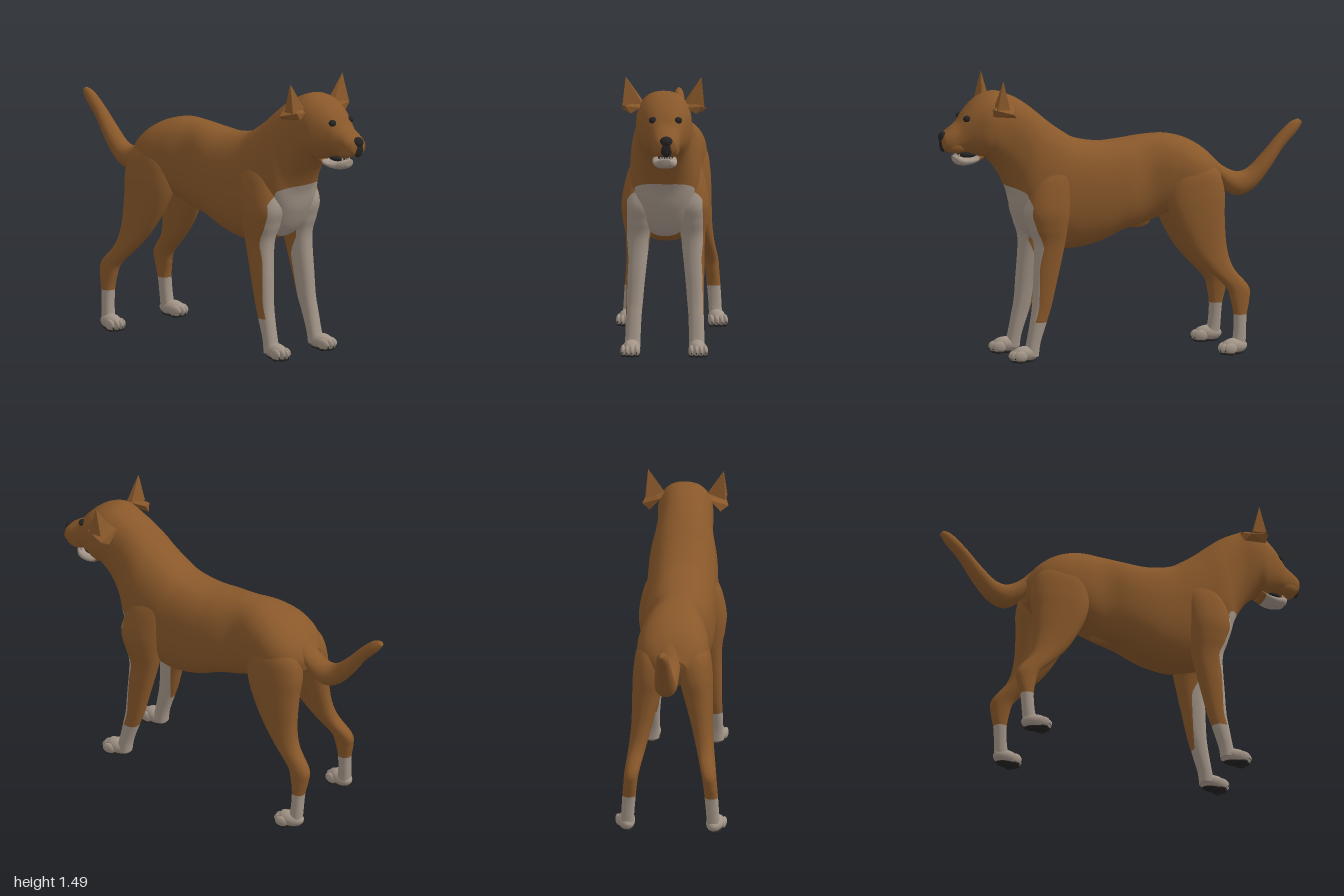
import * as THREE from 'three';
import { ConvexGeometry } from 'three/addons/geometries/ConvexGeometry.js';

const mat = (name, color) => Object.assign(new THREE.MeshStandardMaterial({ color }), { name });
const tan = mat('tan coat', 0x89582a);
const white = mat('pale markings', 0xa39588);
const black = mat('black', 0x262423);

// The head turns slightly to its left
const turn = (z) => Math.max(0, z - 0.68) * 0.08;

// Smooth skin over rings [zTop, yTop, zBottom, yBottom, halfWidth, centreX];
// faces are cut along paint = 0 and are pale where it is positive
function loft(name, rings, { segs = 56, steps = 9, power = 0.85, paint = () => -1 } = {}) {
  const pos = [], n = rings.length, rows = (n - 1) * steps + 1;
  const at = (i) => rings[Math.min(n - 1, Math.max(0, i))];
  const pw = (v) => Math.sign(v) * Math.pow(Math.abs(v), power);
  const ends = [];
  for (let r = 0; r < rows; r++) {
    const i = Math.min(n - 2, Math.floor(r / steps)), t = r / steps - i;
    const q = [0, 1, 2, 3, 4, 5].map((k) => {
      const [a, b, c, d] = [-1, 0, 1, 2].map((o) => at(i + o)[k] || 0);
      return b + 0.5 * t * (c - a + t * (2 * a - 5 * b + 4 * c - d + t * (3 * (b - c) + d - a)));
    });
    const cz = (q[0] + q[2]) / 2, cy = (q[1] + q[3]) / 2;
    for (let j = 0; j < segs; j++) {
      const w = (j / segs) * Math.PI * 2, c = pw(Math.cos(w)), s = pw(Math.sin(w));
      const z = cz + ((q[0] - q[2]) / 2) * c;
      pos.push(q[5] + q[4] * s + turn(z), cy + ((q[1] - q[3]) / 2) * c, z);
    }
    if (r === 0 || r === rows - 1) ends.push([q[5] + turn(cz), cy, cz]);
  }
  const first = pos.length / 3, last = first + 1;
  pos.push(...ends[0], ...ends[1]);

  // Sort triangles by colour, splitting those on the colour edge
  const lists = [[], []], cuts = new Map();
  const point = (i) => pos.slice(i * 3, i * 3 + 3);
  const value = (i) => paint(...point(i));
  const cut = (a, b) => {
    const key = Math.min(a, b) + '_' + Math.max(a, b);
    if (!cuts.has(key)) {
      const t = value(a) / (value(a) - value(b)), p = point(a), e = point(b);
      cuts.set(key, pos.length / 3);
      pos.push(...p.map((v, k) => v + (e[k] - v) * t));
    }
    return cuts.get(key);
  };
  const tri = (...ids) => {
    const on = ids.map((i) => (value(i) > 0 ? 1 : 0)), sum = on[0] + on[1] + on[2];
    if (sum % 3 === 0) return lists[on[0]].push(...ids);
    const k = on.indexOf(sum === 1 ? 1 : 0);
    const [a, b, c] = [0, 1, 2].map((o) => ids[(k + o) % 3]);
    const ab = cut(a, b), ac = cut(a, c);
    lists[on[k]].push(a, ab, ac);
    lists[1 - on[k]].push(ab, b, c, ab, c, ac);
  };
  for (let j = 0; j < segs; j++) {
    const k = (j + 1) % segs, e = (rows - 1) * segs;
    tri(first, j, k);
    for (let r = 0; r < rows - 1; r++) {
      const a = r * segs, b = a + segs;
      tri(a + j, b + j, a + k);
      tri(a + k, b + j, b + k);
    }
    tri(last, e + k, e + j);
  }
  const g = new THREE.BufferGeometry();
  g.setAttribute('position', new THREE.Float32BufferAttribute(pos, 3));
  g.setIndex(lists.flat());
  g.addGroup(0, lists[0].length, 0);
  g.addGroup(lists[0].length, lists[1].length, 1);
  g.computeVertexNormals();
  const mesh = new THREE.Mesh(g, [tan, white]);
  mesh.name = name;
  return mesh;
}

function ball(name, material, p, s, detail = 20) {
  const m = new THREE.Mesh(new THREE.SphereGeometry(1, detail, Math.round(detail * 0.7)), material);
  m.name = name;
  m.position.set(...p);
  m.scale.set(...s);
  return m;
}

// Pale socks, and a bib that runs from the chest down the front of the legs
const sock = (x, y) => 0.208 - y;
function bib(x, y, z) {
  const ax = Math.abs(x);
  const top = 0.912 - Math.pow(Math.min(1, ax / 0.2), 4) * 0.07;
  const limit = 0.475 + Math.max(0, y - 0.62) * 0.3;
  const inner = Math.min(1, Math.max(0, (0.6 - y) / 0.1)) * (0.16 - ax) * 0.7;
  return Math.max(sock(x, y), Math.min(top - y, 0.198 - ax, z + inner - limit));
}

// Paw with four toes, claws and a dark sole
function paw(name, x, z, yaw) {
  const g = new THREE.Group();
  g.name = name;
  g.position.set(x, 0, z);
  g.rotation.y = yaw;
  g.add(ball('pawBody', white, [0, 0.045, 0], [0.045, 0.041, 0.072]));
  g.add(ball('pawSole', black, [0, 0.01, 0.012], [0.038, 0.01, 0.07]));
  for (let i = 0; i < 4; i++) {
    const o = i - 1.5, front = 0.065 - Math.abs(o) * 0.014;
    g.add(ball('toe', white, [o * 0.024, 0.035, front - 0.005], [0.0155, 0.029, 0.037], 14));
    g.add(ball('toePad', black, [o * 0.024, 0.008, front - 0.004], [0.012, 0.008, 0.025], 10));
    const claw = new THREE.Mesh(new THREE.ConeGeometry(0.005, 0.018, 8), black);
    claw.name = 'claw';
    claw.position.set(o * 0.025, 0.024, front + 0.03);
    claw.rotation.x = 2.3;
    g.add(claw);
  }
  return g;
}

export function createModel() {
  const dog = new THREE.Group();
  dog.name = 'dog';

  // Rump, trunk, neck, skull and muzzle as one skin
  dog.add(loft('body', [
    [-0.535, 0.95, -0.515, 0.85, 0.08],
    [-0.47, 1.04, -0.45, 0.78, 0.16],
    [-0.37, 1.11, -0.35, 0.74, 0.188],
    [-0.25, 1.145, -0.24, 0.73, 0.172],
    [-0.12, 1.145, -0.12, 0.68, 0.147],
    [0, 1.13, 0, 0.65, 0.172],
    [0.12, 1.122, 0.13, 0.595, 0.183],
    [0.25, 1.145, 0.27, 0.567, 0.183],
    [0.33, 1.19, 0.38, 0.585, 0.184],
    [0.40, 1.24, 0.505, 0.637, 0.184],
    [0.46, 1.29, 0.58, 0.76, 0.177],
    [0.53, 1.345, 0.615, 0.88, 0.157],
    [0.60, 1.385, 0.67, 0.985, 0.144],
    [0.68, 1.412, 0.735, 1.06, 0.145],
    [0.75, 1.4, 0.775, 1.07, 0.14],
    [0.81, 1.365, 0.81, 1.085, 0.12],
    [0.86, 1.315, 0.855, 1.1, 0.095],
    [0.90, 1.262, 0.9, 1.102, 0.077],
    [0.95, 1.225, 0.95, 1.105, 0.067],
    [0.98, 1.2, 0.978, 1.118, 0.052],
    [0.99, 1.18, 0.988, 1.135, 0.025],
  ], { segs: 72, paint: bib }));

  // Tail, from tip to root
  dog.add(loft('tail', [
    [-0.965, 1.192, -0.985, 1.172, 0.012, 0.02],
    [-0.92, 1.175, -0.955, 1.125, 0.028, 0.02],
    [-0.85, 1.11, -0.877, 1.04, 0.038, 0.02],
    [-0.77, 1.02, -0.797, 0.925, 0.05, 0.02],
    [-0.69, 0.945, -0.717, 0.835, 0.056, 0.018],
    [-0.625, 0.93, -0.636, 0.802, 0.06, 0.018],
    [-0.55, 0.965, -0.57, 0.83, 0.062, 0.015],
    [-0.48, 1.03, -0.52, 0.88, 0.062, 0.01],
    [-0.4, 1.08, -0.43, 0.93, 0.06, 0],
  ], { segs: 28, steps: 6, power: 1 }));
  dog.add(ball('underbelly', tan, [0, 0.7, -0.09], [0.03, 0.045, 0.075]));

  // Legs: rows of [y, zFront, zBack, xInner, xOuter]
  const frontRows = [
    [1.05, 0.45, 0.33, 0.08, 0.14], [0.95, 0.515, 0.31, 0.06, 0.196], [0.8, 0.562, 0.32, 0.035, 0.228],
    [0.7, 0.54, 0.335, 0.05, 0.222], [0.6, 0.513, 0.352, 0.08, 0.206], [0.4, 0.522, 0.4, 0.104, 0.203],
    [0.28, 0.53, 0.43, 0.115, 0.202], [0.2, 0.543, 0.457, 0.122, 0.204], [0.1, 0.562, 0.49, 0.126, 0.206],
    [0.03, 0.58, 0.5, 0.128, 0.21]];
  const hindRows = [
    [1.03, -0.3, -0.42, 0.05, 0.13], [0.95, -0.24, -0.5, 0.02, 0.186], [0.84, -0.215, -0.53, 0.025, 0.205],
    [0.72, -0.24, -0.525, 0.055, 0.21], [0.56, -0.325, -0.53, 0.1, 0.212], [0.45, -0.415, -0.56, 0.13, 0.222],
    [0.35, -0.515, -0.637, 0.16, 0.238], [0.28, -0.54, -0.637, 0.172, 0.244], [0.2, -0.553, -0.62, 0.18, 0.25],
    [0.1, -0.548, -0.614, 0.188, 0.256], [0.03, -0.53, -0.61, 0.19, 0.26]];
  for (const s of [1, -1]) {
    const side = s > 0 ? 'left' : 'right';
    const toRings = (rows) => rows.map(([y, f, b, i, o]) => [f, y, b, y, (o - i) / 2, (s * (o + i)) / 2]);
    dog.add(loft(side + 'FrontLeg', toRings(frontRows), { paint: bib }));
    dog.add(loft(side + 'HindLeg', toRings(hindRows), { paint: sock }));
    dog.add(paw(side + 'FrontPaw', s * 0.172, 0.572, s * 0.12));
    dog.add(paw(side + 'HindPaw', s * 0.232, -0.55, s * 0.2));

    // Upright ear point with a folded flap sweeping back below it
    const ear = (name, pts) => {
      const m = new THREE.Mesh(new ConvexGeometry(pts.map(([x, y, z]) => new THREE.Vector3(s * x, y, z))), tan);
      m.name = side + name;
      dog.add(m);
    };
    ear('EarTip', [[0.198, 1.49, 0.7], [0.112, 1.365, 0.685], [0.112, 1.35, 0.72],
      [0.214, 1.338, 0.735], [0.207, 1.338, 0.665]]);
    ear('EarFlap', [[0.11, 1.365, 0.69], [0.12, 1.33, 0.735], [0.2, 1.34, 0.75], [0.17, 1.3, 0.745],
      [0.225, 1.315, 0.65], [0.185, 1.29, 0.625], [0.13, 1.36, 0.61]]);

    // Eye and upper lip
    dog.add(ball(side + 'Eye', black, [s * 0.066 + 0.016, 1.282, 0.862], [0.021, 0.018, 0.02]));
    dog.add(ball(side + 'Lip', tan, [s * 0.036 + 0.02, 1.137, 0.915], [0.034, 0.038, 0.06]));
  }

  // Nose and the dark groove under it
  dog.add(ball('nose', black, [0.024, 1.185, 0.974], [0.035, 0.028, 0.026]));
  dog.add(ball('noseGroove', black, [0.024, 1.15, 0.977], [0.034, 0.044, 0.017]));

  // Open mouth and pale lower jaw
  dog.add(ball('mouthInside', black, [0.015, 1.086, 0.84], [0.04, 0.018, 0.05]));
  dog.add(loft('lowerJaw', [
    [0.76, 1.1, 0.765, 1.06, 0.06], [0.81, 1.075, 0.81, 1.04, 0.064], [0.86, 1.073, 0.86, 1.03, 0.058],
    [0.9, 1.085, 0.9, 1.036, 0.047], [0.922, 1.085, 0.918, 1.052, 0.025],
  ], { segs: 28, steps: 5, paint: (x, y, z) => z - 0.79 }));
  for (let i = -2; i <= 2; i++) {
    dog.add(ball('lowerTooth', white, [0.018 + i * 0.013, 1.085, 0.91 - i * i * 0.004], [0.006, 0.01, 0.005], 8));
  }
  return dog;
}
